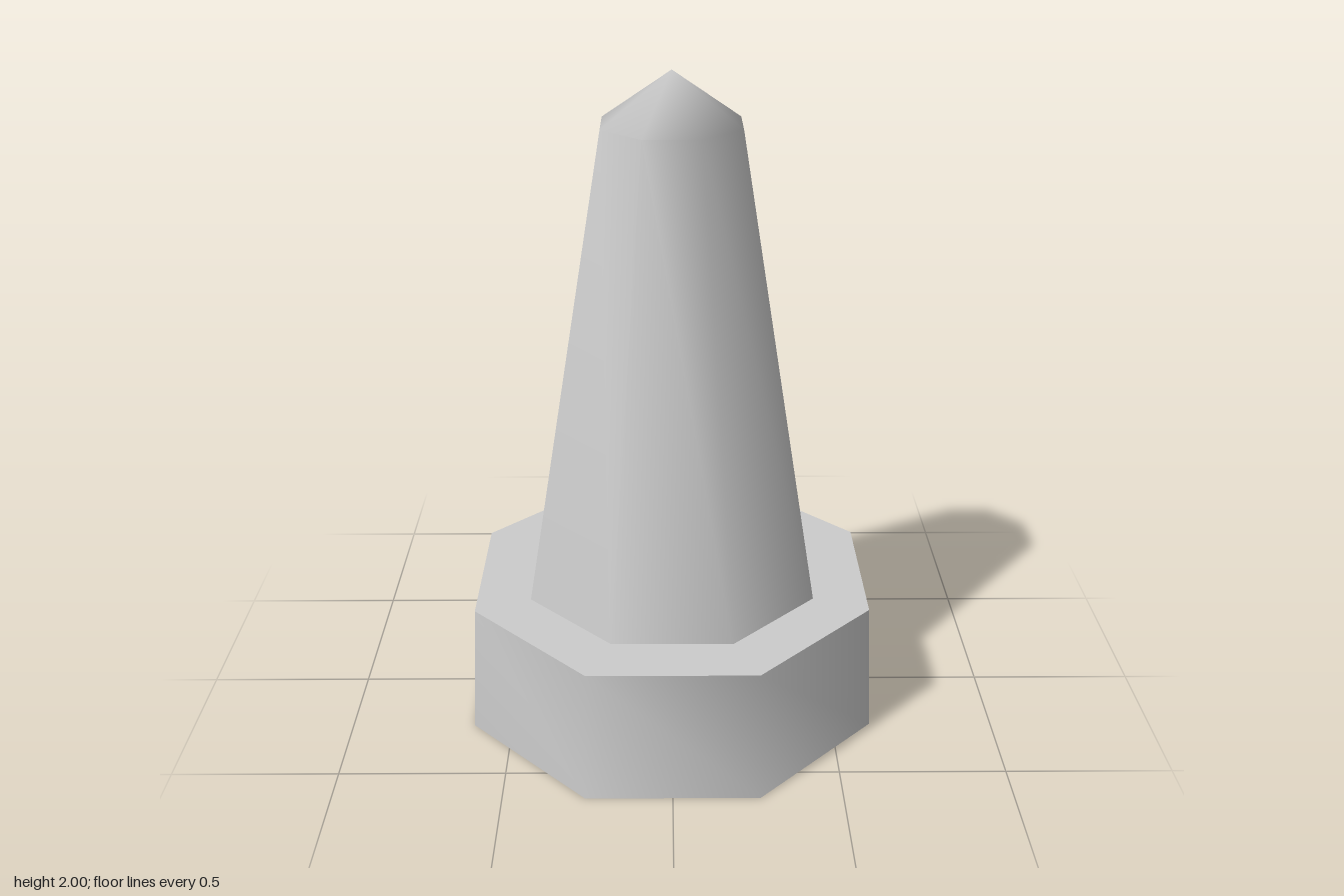
import * as THREE from 'three';
import { mergeVertices } from 'three/addons/utils/BufferGeometryUtils.js';

const SIDES = 8;
const TURN = Math.PI / SIDES; // flats face the axes
const corner = (flat) => flat / Math.cos(TURN); // flat distance -> corner radius

// Smooth eight-sided shell from [flat distance, height] pairs, bottom to top
function shell(profile) {
  const points = profile.map(([r, y]) => new THREE.Vector2(corner(r), y));
  const lathe = new THREE.LatheGeometry(points, SIDES, TURN);
  lathe.deleteAttribute('normal');
  lathe.deleteAttribute('uv');
  const geometry = mergeVertices(lathe, 1e-4);
  geometry.computeVertexNormals();
  return geometry;
}

export function createModel() {
  const group = new THREE.Group();
  const grey = new THREE.MeshStandardMaterial({ color: 0xcccccc, side: THREE.DoubleSide });
  grey.name = 'light grey';

  const add = (name, geometry) => {
    const mesh = new THREE.Mesh(geometry, grey);
    mesh.name = name;
    group.add(mesh);
    return mesh;
  };

  // Hollow base, open underneath
  add('baseWall', shell([[0.62, 0], [0.6, 0.41]]));
  const top = new THREE.CircleGeometry(corner(0.6), SIDES, TURN).rotateX(-Math.PI / 2);
  add('baseTop', top).position.y = 0.41;

  // Tapered shaft with pointed tip, its open end sunk a little into the base
  add('shaft', shell([[0.443, 0.36], [0.2, 1.85], [0, 2]]));

  return group;
}
